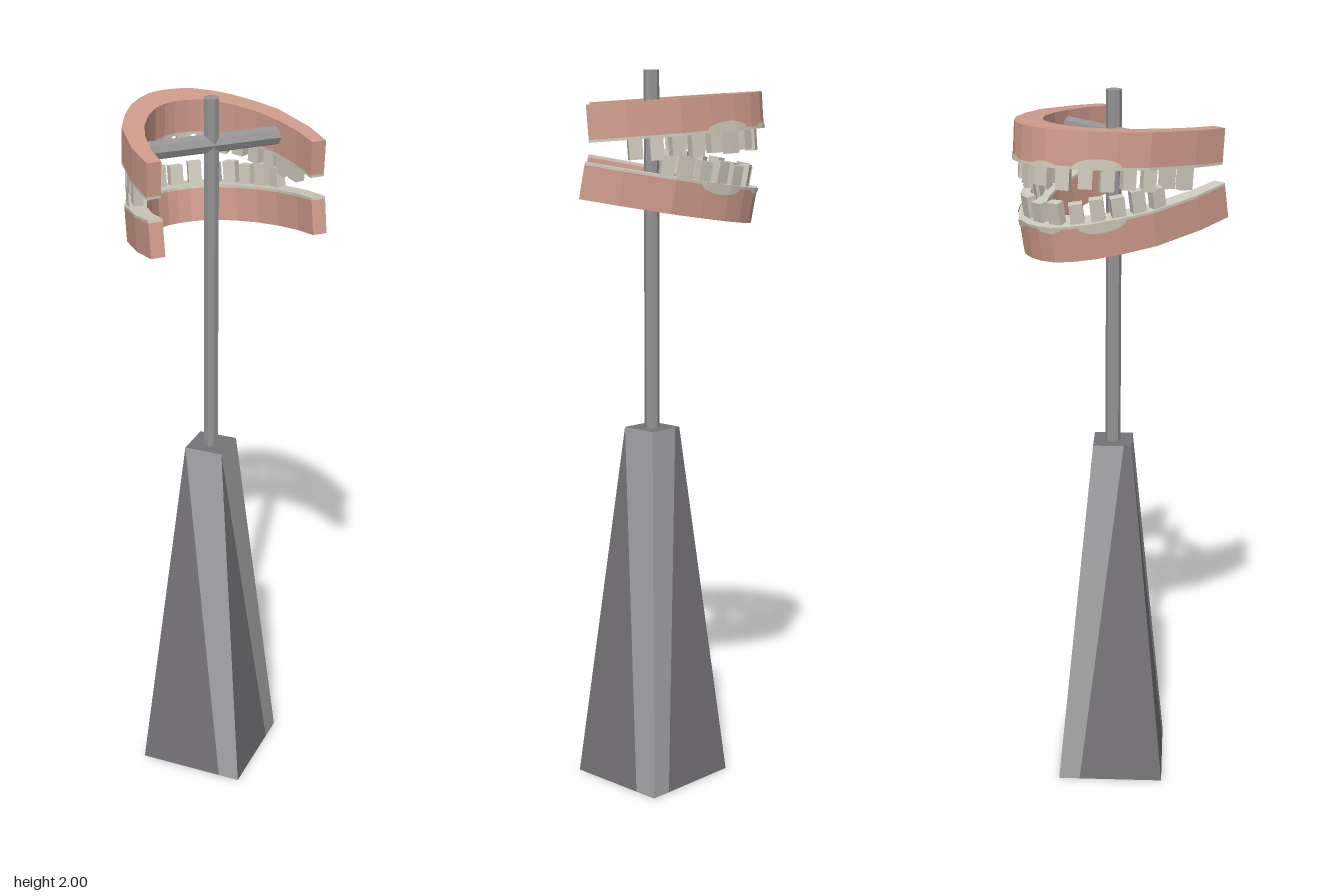
import * as THREE from 'three';

const mat = (name, color, extra = {}) => {
  const m = new THREE.MeshStandardMaterial({ color, flatShading: true, ...extra });
  m.name = name;
  return m;
};

export function createModel() {
  const model = new THREE.Group();
  const gum = mat('gum pink', 0xd09c8c);
  const ivory = mat('tooth ivory', 0xcfcabd, { side: THREE.DoubleSide });
  const light = mat('light stone', 0xa3a2a4);
  const dark = mat('dark stone', 0x757377);
  const steel = mat('steel', 0x959393);
  const Z = 0.043; // stand axis

  const add = (parent, name, geometry, material, x = 0, y = 0, z = 0) => {
    const m = new THREE.Mesh(geometry, material);
    m.name = name;
    m.position.set(x, y, z);
    parent.add(m);
    return m;
  };

  // Two triangles from four corners, counterclockwise from outside
  const quad = (a, b, c, d) => {
    const g = new THREE.BufferGeometry().setFromPoints([a, b, c, a, c, d]);
    g.computeVertexNormals();
    return g;
  };

  // Tapered base: each side is split by a slanted line into two tones
  const base = new THREE.Group();
  base.name = 'base';
  base.position.z = Z;
  model.add(base);
  const H = 1.02, R0 = 0.213, R1 = 0.076;
  const corner = (k, r, y) =>
    new THREE.Vector3(Math.round(Math.sin(k * Math.PI / 2)) * r, y, Math.round(Math.cos(k * Math.PI / 2)) * r);
  // [split at top, split at bottom, left tone, right tone], from the front-left side on
  const sides = [
    [0, 0.77, dark, light],
    [0.85, 0.2, light, dark],
    [0.8, 0.2, light, dark],
    [0, 0.8, dark, light],
  ];
  sides.forEach(([t, b, left, right], k) => {
    const bl = corner(k, R0, 0), br = corner(k + 1, R0, 0);
    const tl = corner(k, R1, H), tr = corner(k + 1, R1, H);
    const bm = bl.clone().lerp(br, b), tm = tl.clone().lerp(tr, t);
    add(base, 'baseSideLeft', quad(bl, bm, tm, tl), left);
    add(base, 'baseSideRight', quad(bm, br, tr, tm), right);
  });
  add(base, 'baseTop', quad(...[0, 1, 2, 3].map((k) => corner(k, R1, H))), dark);
  add(base, 'baseBottom', quad(...[3, 2, 1, 0].map((k) => corner(k, R0, 0))), dark);

  // Pole and crossbar
  add(model, 'pole', new THREE.CylinderGeometry(0.021, 0.021, 2 - H, 8), steel, 0, (2 + H) / 2, Z);
  const bar = add(model, 'crossbar', new THREE.CylinderGeometry(0.025, 0.025, 0.37, 8), steel, 0, 1.88, 0.04);
  bar.rotation.z = Math.PI / 2;

  // Horseshoe outline: half profiles from open end to middle, as (x, z)
  const outerHalf = [[0.24, 0.212], [0.24, 0.11], [0.217, -0.03], [0.18, -0.11], [0.14, -0.175], [0.1, -0.218], [0.06, -0.247], [0.02, -0.257]];
  const innerHalf = [[0.202, 0.212], [0.198, 0.13], [0.18, 0.04], [0.155, -0.03], [0.12, -0.092], [0.085, -0.135], [0.05, -0.157], [0.018, -0.165]];
  const full = (half) => [...half, ...half.slice().reverse().map(([x, z]) => [-x, z])]
    .map(([x, z]) => new THREE.Vector2(x, z));
  const outer = full(outerHalf), inner = full(innerHalf);

  const horseshoe = (y0, height) => {
    const pts = [...outer, ...inner.slice().reverse()].map((p) => new THREE.Vector2(p.x, -p.y));
    const g = new THREE.ExtrudeGeometry(new THREE.Shape(pts), { depth: height, bevelEnabled: false });
    return g.rotateX(-Math.PI / 2).translate(0, y0, 0);
  };
  const outerPath = new THREE.Path().setFromPoints(outer);
  const toothPath = new THREE.Path().setFromPoints(outer.map((p, i) => p.clone().lerp(inner[i], 0.38)));

  // Rounded pale patch lying on the outer gum wall; s is +1 or -1 toward the teeth
  const patch = (centre, half, height, y, s) => {
    const N = 12, pos = [], index = [];
    for (let i = 0; i <= N; i++) {
      const v = (i / N) * 2 - 1;
      const p = outerPath.getPointAt(centre + v * half);
      const x = p.x * 1.015, z = p.y * 1.015;
      pos.push(x, y, z, x, y - s * height * Math.sqrt(Math.max(0, 1 - v * v)), z);
      if (i < N) index.push(2 * i, 2 * i + 1, 2 * i + 2, 2 * i + 1, 2 * i + 3, 2 * i + 2);
    }
    const g = new THREE.BufferGeometry();
    g.setAttribute('position', new THREE.Float32BufferAttribute(pos, 3));
    g.setIndex(index);
    g.computeVertexNormals();
    return g;
  };

  // A jaw: gum, pale rim on the biting side, patches and a row of teeth
  const jaw = (name, s, y, z, tilt, count, u0) => {
    const g = new THREE.Group();
    g.name = name;
    g.position.set(0, y, z);
    g.rotation.x = tilt;
    model.add(g);
    const h = 0.048, rim = 0.007;
    add(g, 'gum', horseshoe(s > 0 ? -h : -h + rim, 2 * h - rim), gum);
    add(g, 'gumRim', horseshoe(s > 0 ? h - rim : -h, rim), ivory);
    for (const [c, w, t] of [[0.33, 0.06, 0.028], [0.45, 0.03, 0.016], [0.55, 0.03, 0.016], [0.67, 0.06, 0.028]])
      add(g, 'gumPatch', patch(c, w, t, s * h, s), ivory);
    for (let i = 0; i < count; i++) {
      const u = u0 + (1 - 2 * u0) * i / (count - 1);
      const p = toothPath.getPointAt(u), d = toothPath.getTangentAt(u);
      const height = 0.056 + 0.006 * (i % 2);
      const tooth = add(g, 'tooth', new THREE.BoxGeometry(0.036, height, 0.026), ivory, p.x, s * (h + height / 2 - 0.004), p.y);
      tooth.rotation.y = Math.atan2(-d.y, d.x);
    }
  };
  jaw('upperJaw', -1, 1.877, 0, 0.07, 16, 0.11);
  jaw('lowerJaw', 1, 1.682, 0.018, -0.17, 13, 0.2);

  return model;
}
